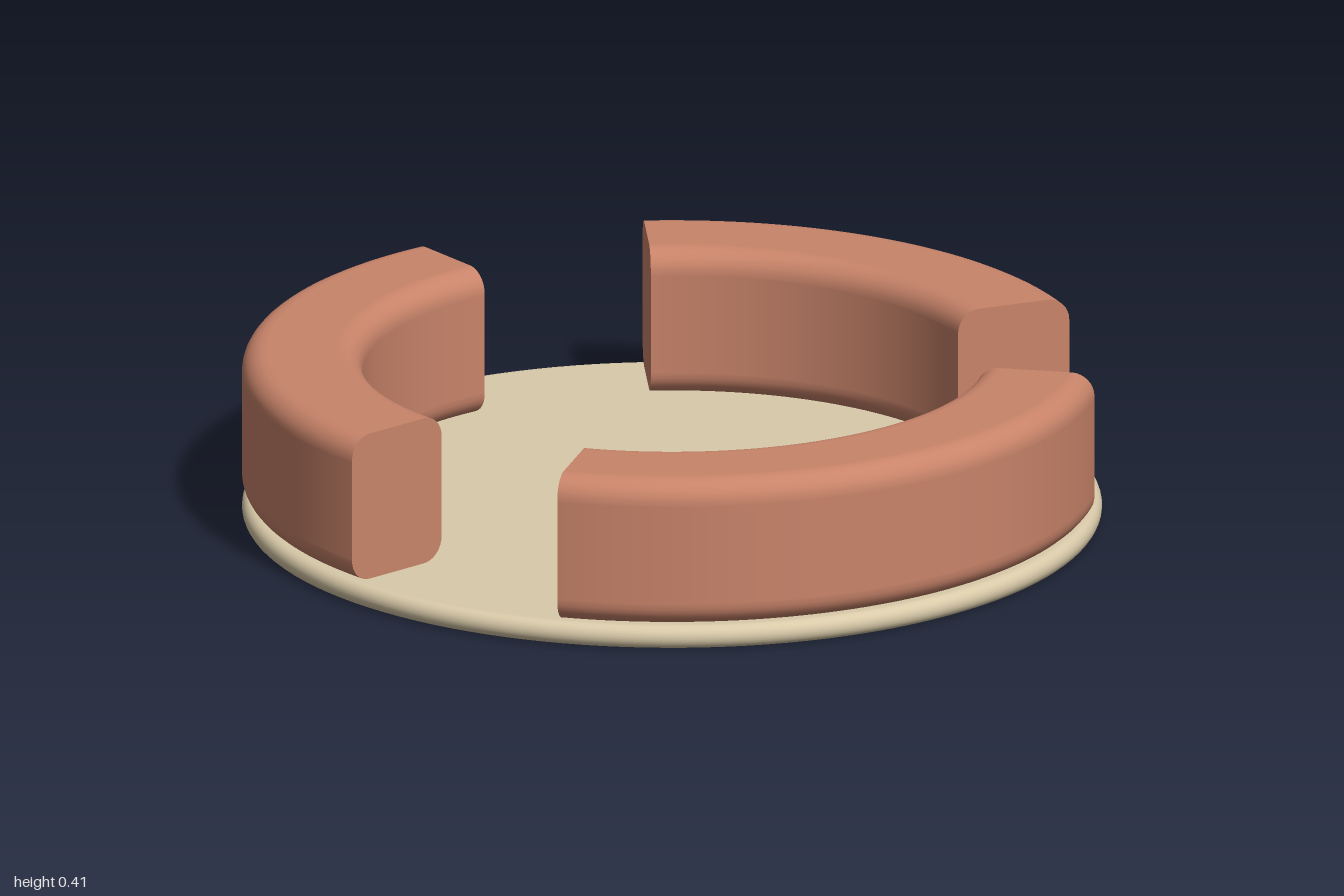
import * as THREE from 'three';

const rad = THREE.MathUtils.degToRad;

// Rounded rectangle cross-section (radius, height), counter-clockwise, closed.
// A short straight run beside each corner keeps the flats shading flat.
function roundedProfile(r0, r1, y0, y1, c, steps = 8) {
  const e = 0.004;
  const pts = [new THREE.Vector2((r0 + r1) / 2, y0)];
  const corners = [[r1 - c, y0 + c, -90], [r1 - c, y1 - c, 0], [r0 + c, y1 - c, 90], [r0 + c, y0 + c, 180]];
  for (const [x, y, start] of corners) {
    const at = (deg, run) => {
      const a = rad(deg);
      pts.push(new THREE.Vector2(x + c * Math.cos(a) + run * Math.sin(a), y + c * Math.sin(a) - run * Math.cos(a)));
    };
    at(start, e);
    for (let i = 0; i <= steps; i++) at(start + (90 * i) / steps, 0);
    at(start + 90, -e);
  }
  pts.push(pts[0].clone());
  return pts;
}

export function createModel() {
  const fabric = new THREE.MeshStandardMaterial({ color: 0xc9846a });
  fabric.name = 'terracotta fabric';
  const sand = new THREE.MeshStandardMaterial({ color: 0xd9caa9 });
  sand.name = 'sand base';

  const model = new THREE.Group();
  model.name = 'segmentedRingSeating';
  const add = (parent, name, geometry, material) => {
    const mesh = new THREE.Mesh(geometry, material);
    mesh.name = name;
    parent.add(mesh);
  };

  // Round base plate with a softened rim
  const h = 0.055, c = 0.025;
  const rim = [new THREE.Vector2(0, 0), new THREE.Vector2(1 - c - 0.005, 0)];
  for (let i = 0; i <= 12; i++) {
    const a = rad(-90 + 15 * i);
    rim.push(new THREE.Vector2(1 - c + c * Math.cos(a), h / 2 + (h / 2) * Math.sin(a)));
  }
  rim.push(new THREE.Vector2(1 - c - 0.005, h), new THREE.Vector2(0, h));
  add(model, 'basePlate', new THREE.LatheGeometry(rim, 128), sand);

  // Curved seat: swept cross-section with flat ends; angles run from +z towards +x
  const profile = roundedProfile(0.72, 1, 0.055, 0.41, 0.055);
  const outline = profile.slice(0, -1);
  function seat(name, from, to) {
    const group = new THREE.Group();
    group.name = name;
    const sweep = new THREE.LatheGeometry(profile, Math.ceil((to - from) / 2), rad(from), rad(to - from));
    add(group, 'seatBody', sweep, fabric);
    const startCap = new THREE.ShapeGeometry(new THREE.Shape(outline)).rotateY(rad(from - 90));
    add(group, 'seatStartEnd', startCap, fabric);
    const mirrored = outline.map((p) => new THREE.Vector2(-p.x, p.y));
    const endCap = new THREE.ShapeGeometry(new THREE.Shape(mirrored)).rotateY(rad(to + 90));
    add(group, 'seatStopEnd', endCap, fabric);
    model.add(group);
  }
  seat('leftSeat', 16.3, 111);
  seat('backSeat', 144.3, 215.7);
  seat('rightSeat', 249, 343.7);

  return model;
}
